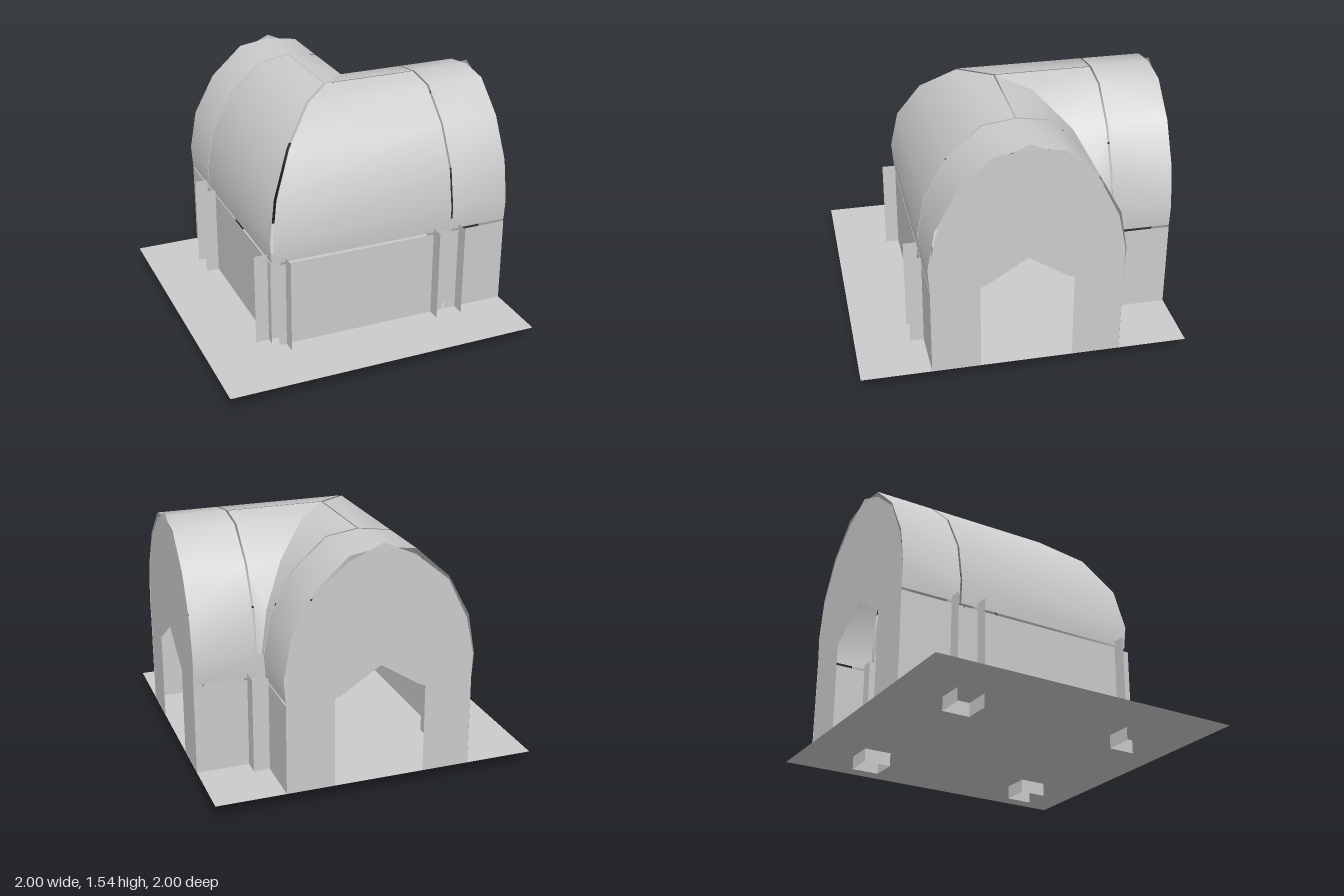
import * as THREE from 'three';

const FLOOR = 0.085, WALL_TOP = 0.64, HALF = 0.575;

// Half of the vault section: distance from the centre line, height
const ARCH = [[0, 1.515], [0.2, 1.485], [0.405, 1.3], [0.54, 1.05], [0.585, 0.8], [0.575, 0.655]];

const material = new THREE.MeshStandardMaterial({ color: 0xcccccc, side: THREE.DoubleSide });

// The two arms mirror each other across the diagonal: (x, z) -> (-z, -x)
const place = ([x, y, z], swap) => (swap ? [-z, y, -x] : [x, y, z]);

// Surface joining pairs of points, row after row
function strip(name, rows, swap, flat = false) {
  const pos = [], index = [];
  rows.forEach(([a, b], i) => {
    pos.push(...place(a, swap), ...place(b, swap));
    if (i === 0) return;
    const k = 2 * i;
    if (swap) index.push(k - 2, k - 1, k, k - 1, k + 1, k);
    else index.push(k - 2, k, k - 1, k - 1, k, k + 1);
  });
  let geo = new THREE.BufferGeometry();
  geo.setAttribute('position', new THREE.Float32BufferAttribute(pos, 3));
  geo.setIndex(index);
  if (flat) geo = geo.toNonIndexed();
  geo.computeVertexNormals();
  const mesh = new THREE.Mesh(geo, material);
  mesh.name = name;
  return mesh;
}

// Upright thin panels following a plan path of [x, z] points
const upright = (name, path, y0, y1, swap) =>
  strip(name, path.map(([x, z]) => [[x, y0, z], [x, y1, z]]), swap, true);

// Arched end wall with a pointed doorway
function endWall(swap) {
  const right = [[0.28, FLOOR], [0.575, FLOOR], [0.575, 0.64], [0.58, 0.8], [0.53, 1.03],
    [0.405, 1.28], [0.2, 1.45]];
  const door = [[0.28, 0.64], [0.24, 0.655]];
  const flip = (pts) => pts.map(([u, y]) => [-u, y]).reverse();
  const outline = [...right, [0, 1.54], ...flip(right), ...flip(door).reverse(), [0, 0.81], ...door.slice().reverse()];
  const geo = new THREE.ShapeGeometry(new THREE.Shape(outline.map((p) => new THREE.Vector2(...p))));
  geo.rotateY(swap ? Math.PI : Math.PI / 2);
  geo.translate(swap ? 0 : 0.998, 0, swap ? -0.998 : 0);
  const mesh = new THREE.Mesh(geo, material);
  mesh.name = 'endWall';
  return mesh;
}

function arm(swap) {
  const g = new THREE.Group();
  g.name = swap ? 'backArm' : 'sideArm';

  // Outer half vault, mitred at the corner
  g.add(strip('outerVault', ARCH.map(([p, y]) => [[0.012 - p, y, p], [0.612, y, p]]), swap));

  // Inner half vault, meeting its twin in a valley
  g.add(strip('innerVault', ARCH.slice(0, 5).map(([p, y]) =>
    [[Math.max(p, 0.008), y, -Math.max(p, 0.008)], [0.612, y, -Math.max(p, 0.008)]]), swap));

  // Full vault over the end bay
  const full = [...ARCH.slice(1).reverse().map(([p, y]) => [-p, y]), ...ARCH];
  g.add(strip('endVault', full.map(([z, y]) => [[0.624, y, z], [1, y, z]]), swap));

  // Low side walls
  g.add(upright('outerWall', [[-0.54, HALF], [0.585, HALF]], FLOOR, WALL_TOP, swap));
  for (const z of [HALF, -HALF])
    g.add(upright('endBayWall', [[0.595, z], [1, z]], FLOOR, WALL_TOP, swap));

  // Channel post at the joint, open to the outside
  g.add(upright('channelPost', [[0.5, 0.66], [0.5, 0.49], [0.675, 0.49], [0.675, 0.66]], 0, 0.68, swap));

  g.add(endWall(swap));
  return g;
}

export function createModel() {
  const model = new THREE.Group();
  model.name = 'corridorCorner';

  // Floor sheet
  const floor = new THREE.Mesh(new THREE.PlaneGeometry(2, 2).rotateX(-Math.PI / 2), material);
  floor.name = 'floor';
  floor.position.y = FLOOR;
  model.add(floor);

  model.add(arm(false), arm(true));

  // Angle post at the outer corner and square post at the inner corner
  model.add(upright('outerCornerPost', [[-0.66, 0.49], [-0.49, 0.49], [-0.49, 0.66]], 0, 0.68, false));
  model.add(upright('innerCornerPost',
    [[0.5, -0.5], [0.675, -0.5], [0.675, -0.675], [0.5, -0.675], [0.5, -0.5]], 0, 0.68, false));
  return model;
}
